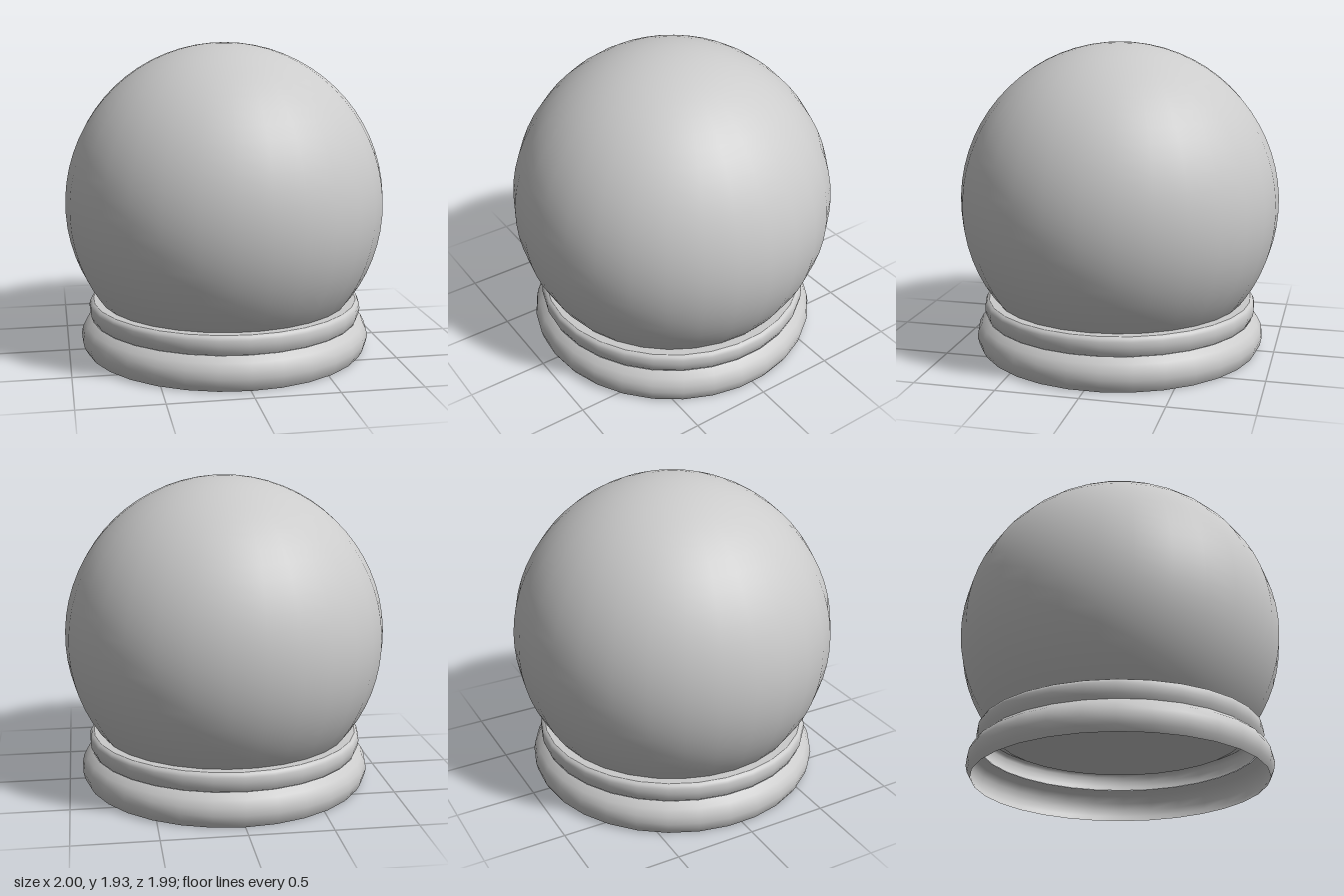
import * as THREE from 'three';

const SIDES = 30;
const CENTRE_Y = 0.93; // centre height of the unit dome
const CUT_Y = 0.28; // height where the dome is cut flat

export function createModel() {
  const model = new THREE.Group();
  const material = new THREE.MeshStandardMaterial({ color: 0xcccccc, side: THREE.DoubleSide });

  const add = (name, geometry, parent = model) => {
    const mesh = new THREE.Mesh(geometry, material);
    mesh.name = name;
    parent.add(mesh);
    return mesh;
  };

  // Turned band from [radius, height] pairs
  const band = (points) =>
    new THREE.LatheGeometry(points.map(([r, y]) => new THREE.Vector2(r, y)), SIDES);

  // Glass dome: a sphere cut off above the base
  const cutAngle = Math.acos((CUT_Y - CENTRE_Y) / 1);
  add('dome', new THREE.SphereGeometry(1, SIDES, 24, 0, Math.PI * 2, 0, cutAngle)).position.y = CENTRE_Y;

  // Flat floor closing the dome, facing down
  const floor = add('domeFloor', new THREE.CircleGeometry(Math.sin(cutAngle), SIDES));
  floor.rotation.x = Math.PI / 2;
  floor.position.y = CUT_Y;

  // Hollow base, open underneath: a rounded foot and a narrower collar
  const base = new THREE.Group();
  base.name = 'base';
  model.add(base);

  add('foot', band([
    [0.89, 0], [0.91, 0.035], [0.92, 0.08], [0.912, 0.125], [0.89, 0.167], [0.85, 0.2],
  ]), base);

  add('collar', band([
    [0.848, 0.2], [0.862, 0.228], [0.867, 0.26], [0.865, 0.29], [0.856, 0.308], [0.84, 0.317],
  ]), base);

  // Lip running from the collar in to the glass
  add('collarLip', band([[0.84, 0.317], [0.785, 0.317]]), base);

  return model;
}
